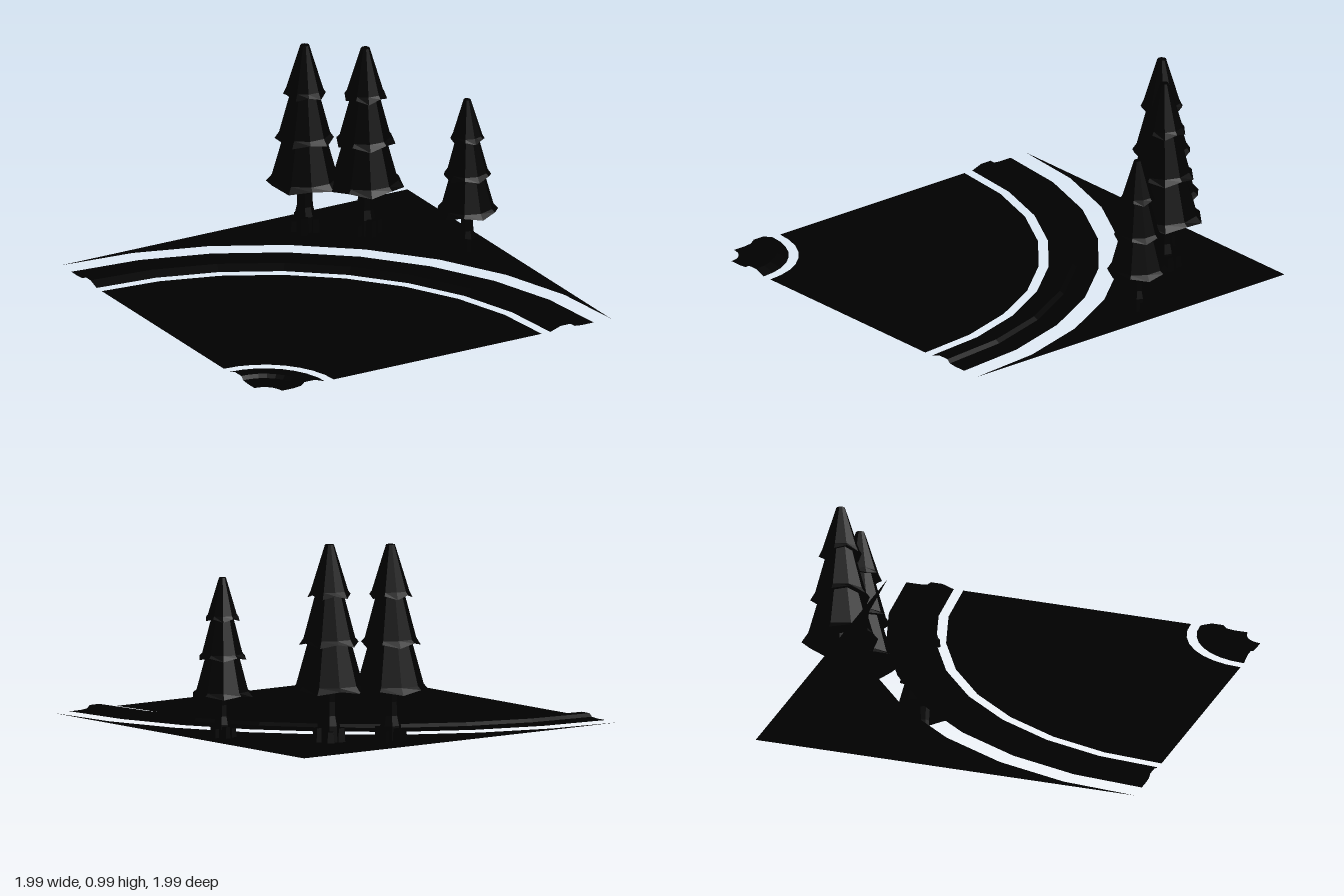
import * as THREE from 'three';

const TILE = 1.99;          // tile width
const CX = -1, CZ = 0.995;  // centre of the bend
const STEPS = 8;            // facets over the quarter turn

const dark = new THREE.MeshStandardMaterial({ color: 0x000000, flatShading: true, side: THREE.DoubleSide });
dark.name = 'black';

// Quarter-turn surface; each row is [radius, y] in half-tile units, 'edge' meaning the tile border
function bend(name, rows) {
  const pos = [], index = [];
  for (const [r, y] of rows) {
    for (let i = 0; i <= STEPS; i++) {
      const a = (i / STEPS) * Math.PI / 2, c = Math.cos(a), s = Math.sin(a);
      const radius = r === 'edge' ? TILE / Math.max(c, s) : r * TILE / 2;
      pos.push(CX + radius * c, y, CZ - radius * s);
    }
  }
  const n = STEPS + 1;
  for (let j = 0; j < rows.length - 1; j++) {
    for (let i = 0; i < STEPS; i++) {
      const a = j * n + i, b = a + n;
      index.push(a, b, b + 1, a, b + 1, a + 1);
    }
  }
  const g = new THREE.BufferGeometry();
  g.setAttribute('position', new THREE.Float32BufferAttribute(pos, 3));
  g.setIndex(index);
  g.computeVertexNormals();
  const mesh = new THREE.Mesh(g, dark);
  mesh.name = name;
  return mesh;
}

// One foliage tier with a ragged, flared lower rim
function tier(y, rim, topY, topR) {
  const sides = 10;
  const rows = [[0, y + 0.04], [rim, y], [rim * 0.85, y + 0.035], [topR, topY], [0, topY]];
  const g = new THREE.LatheGeometry(rows.map(p => new THREE.Vector2(...p)), sides);
  const p = g.attributes.position;
  for (let i = 0; i <= sides; i++) {
    const k = i * rows.length + 1, odd = i % 2;
    const s = odd ? 0.96 : 1;
    p.setXYZ(k, p.getX(k) * s, p.getY(k) + (odd ? 0.018 : 0), p.getZ(k) * s);
  }
  g.computeVertexNormals();
  const mesh = new THREE.Mesh(g, dark);
  mesh.name = 'foliageTier';
  return mesh;
}

function tree(x, z, scale, turn) {
  const group = new THREE.Group();
  group.name = 'pineTree';

  // Trunk widening towards the ground
  const profile = [[0.056, 0], [0.052, 0.08], [0.04, 0.13], [0.037, 0.2], [0.045, 0.31]];
  const trunk = new THREE.Mesh(
    new THREE.LatheGeometry(profile.map(p => new THREE.Vector2(...p)), 8), dark);
  trunk.name = 'trunk';
  group.add(trunk);

  // Stubby roots around the foot
  for (let i = 0; i < 5; i++) {
    const a = i * Math.PI * 2 / 5, h = 0.055 + 0.015 * (i % 3);
    const root = new THREE.Mesh(new THREE.CylinderGeometry(0.025, 0.03, h, 5), dark);
    root.name = 'root';
    root.position.set(Math.cos(a) * 0.057, h / 2, Math.sin(a) * 0.057);
    group.add(root);
  }

  group.add(
    tier(0.252, 0.194, 0.53, 0.098),
    tier(0.482, 0.151, 0.76, 0.064),
    tier(0.72, 0.109, 0.985, 0.022));
  group.position.set(x, 0, z);
  group.scale.setScalar(scale);
  group.rotation.y = turn;
  return group;
}

export function createModel() {
  const model = new THREE.Group();
  model.name = 'roadBendWithTrees';

  // Road, raised kerbs and outer ground, with open gaps between them
  model.add(
    bend('innerKerb', [[0.1, 0], [0.17, 0], [0.21, 0.004], [0.23, 0.02], [0.29, 0.02], [0.35, 0]]),
    bend('road', [[0.4, 0], [1.6, 0]]),
    bend('outerKerb', [[1.65, 0], [1.71, 0.02], [1.77, 0.02], [1.79, 0.004], [1.83, 0], [1.9, 0]]),
    bend('ground', [[2, 0], ['edge', 0]]));

  // Trees outside the bend
  model.add(
    tree(0.283, -0.795, 1, 0.3),
    tree(0.522, -0.61, 1, 0.9),
    tree(0.845, -0.165, 0.81, 0));
  return model;
}
